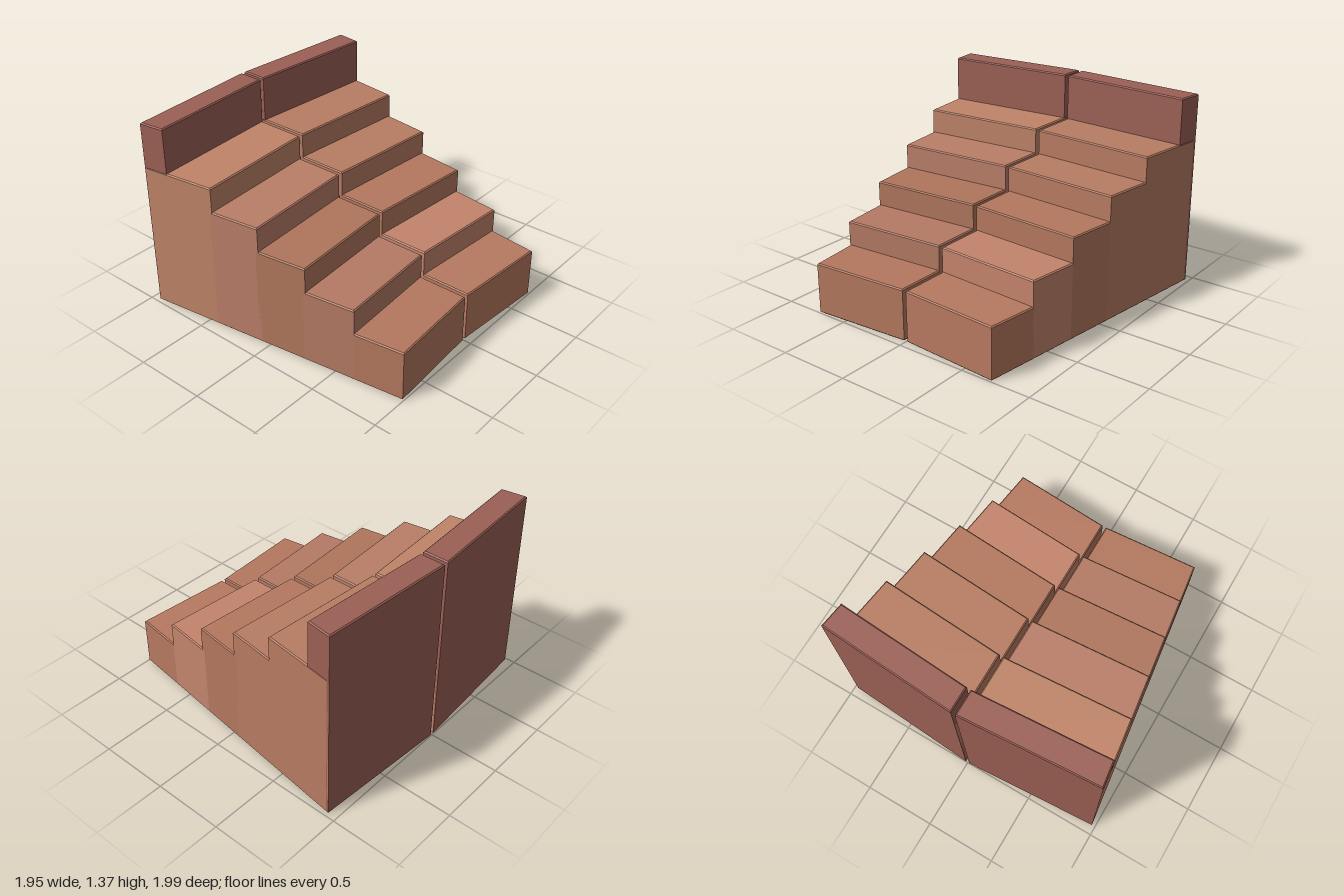
import * as THREE from 'three';

const BEVEL = 0.008;
const FRONT = 0.945, BACK = -1, GAP = 0.014;

// Outer edge of the tapered plan for a given z on the inner edge
function outerPoint(z) {
  const t = (FRONT - z) / (FRONT - BACK);
  return [0.722 + 0.254 * t, 0.993 - 1.93 * t];
}

// Bevelled block between two cross lines of the plan, side = 1 or -1
function block(name, side, zFront, zBack, y0, y1, color) {
  const [xf, zf] = outerPoint(zFront);
  const [xb, zb] = outerPoint(zBack);
  const shape = new THREE.Shape([
    [GAP, zFront], [xf, zf], [xb, zb], [GAP, zBack],
  ].map(([x, z]) => new THREE.Vector2(side * x, -z)));
  const geometry = new THREE.ExtrudeGeometry(shape, {
    depth: y1 - y0 - 2 * BEVEL,
    bevelThickness: BEVEL, bevelSize: BEVEL, bevelOffset: -BEVEL, bevelSegments: 1,
  });
  geometry.rotateX(-Math.PI / 2).translate(0, y0 + BEVEL, 0);
  const mesh = new THREE.Mesh(geometry, new THREE.MeshStandardMaterial({ color }));
  mesh.name = name;
  return mesh;
}

export function createModel() {
  const model = new THREE.Group();
  model.name = 'steppedSeating';

  const edges = [FRONT, 0.592, 0.238, -0.114, -0.466, BACK + 0.005];
  const heights = [0.36, 0.533, 0.706, 0.879, 1.052];
  const tones = {
    1: [0xb87a61, 0xc4846c, 0xb4785e, 0xb87c62, 0xb87c62],
    [-1]: [0xb4785e, 0xb47a64, 0xb0765c, 0xba7e68, 0xc08468],
  };
  const wallColor = 0x9c6055;

  for (const side of [1, -1]) {
    const half = new THREE.Group();
    half.name = side > 0 ? 'leftHalf' : 'rightHalf';

    // Tiers, each tucked slightly under the next
    heights.forEach((h, i) => {
      const zBack = i < heights.length - 1 ? edges[i + 1] - 0.02 : edges[i + 1];
      half.add(block(`tier${i + 1}`, side, edges[i], zBack, 0, h, tones[side][i]));
    });

    // Rear wall above the last tier, and the panel facing the back
    half.add(block('rearWall', side, -0.819, BACK, 1.042, 1.37, wallColor));
    half.add(block('backPanel', side, BACK + 0.02, BACK, 0, 1.06, wallColor));
    model.add(half);
  }
  return model;
}
